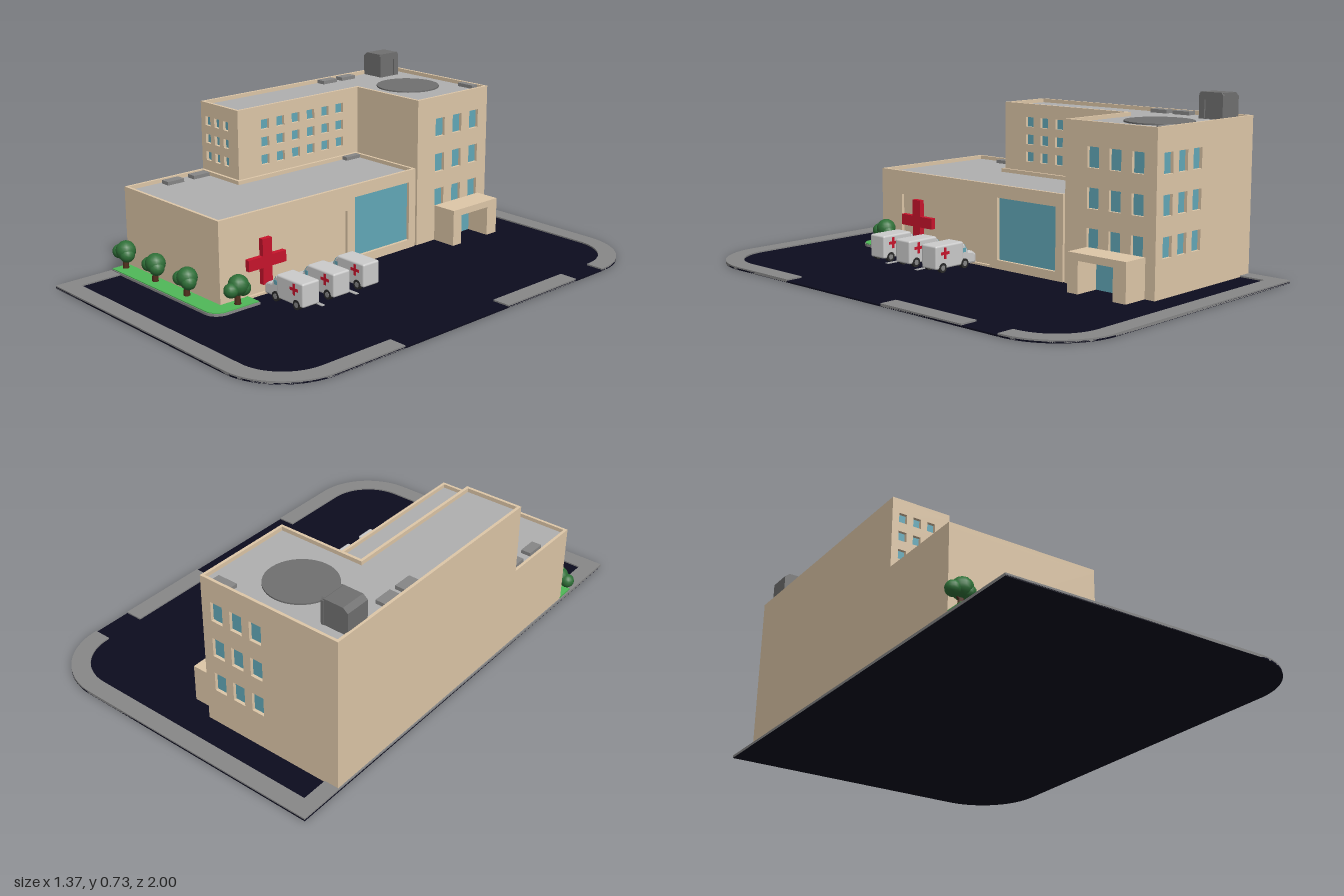
import * as THREE from 'three';
import { RoundedBoxGeometry } from 'three/addons/geometries/RoundedBoxGeometry.js';

const mat = (color) => new THREE.MeshStandardMaterial({ color });
const M = {
  wall: mat(0xdec7a8), roof: mat(0xb0b0b0), vent: mat(0x878787), dark: mat(0x707070), glass: mat(0x62a8b8),
  asphalt: mat(0x0c0c1e), curb: mat(0x888888), grass: mat(0x50b858), red: mat(0xc8142c),
  leaf: mat(0x2f7038), trunk: mat(0x4f2d1b), van: mat(0xc4c4c4), tyre: mat(0x2a2a2a),
};

function add(parent, name, geometry, material, x = 0, y = 0, z = 0) {
  const m = new THREE.Mesh(geometry, material);
  m.name = name;
  m.position.set(x, y, z);
  parent.add(m);
  return m;
}
// box given by its limits on each axis
const box = (p, name, material, [x0, x1], [y0, y1], [z0, z1]) =>
  add(p, name, new THREE.BoxGeometry(x1 - x0, y1 - y0, z1 - z0), material, (x0 + x1) / 2, (y0 + y1) / 2, (z0 + z1) / 2);

const poly = (pts) => new THREE.Shape(pts.map(([x, y]) => new THREE.Vector2(x, y)));
const extrude = (shape, depth) => new THREE.ExtrudeGeometry(shape, { depth, bevelEnabled: false, curveSegments: 12 });
// plan shape (x, z) raised from y0 to y1
const slab = (p, name, material, shape, y0, y1) =>
  add(p, name, extrude(shape, y1 - y0).rotateX(Math.PI / 2), material, 0, y1, 0);

// moves a right-angled outline inwards by t
function inset(pts, t) {
  const n = pts.length;
  const normal = (a, b) => [-Math.sign(b[1] - a[1]), Math.sign(b[0] - a[0])];
  return pts.map((p, i) => {
    const a = normal(pts[(i + n - 1) % n], p), b = normal(p, pts[(i + 1) % n]);
    return [p[0] + t * (a[0] + b[0]), p[1] + t * (a[1] + b[1])];
  });
}

const T = 0.015; // wall depth in front of the core
// outer wall with recessed panels; openings are [u, y, width, height, material]
function wall(p, name, u0, u1, y0, y1, openings, angle, x, z) {
  const g = new THREE.Group();
  g.name = name;
  g.rotation.y = angle;
  g.position.set(x, 0, z);
  p.add(g);
  const rect = (a, b, c, d) => [[a, c], [b, c], [b, d], [a, d]];
  const shape = poly(rect(u0, u1, y0, y1));
  for (const [u, y, w, h, m] of openings) {
    shape.holes.push(poly(rect(u - w / 2, u + w / 2, y - h / 2, y + h / 2)));
    box(g, m === M.glass ? 'window' : 'signPanel', m, [u - w / 2, u + w / 2], [y - h / 2, y + h / 2], [-0.002, 0.002]);
  }
  add(g, 'wallFace', extrude(shape, T), M.wall);
}
const grid = (us, ys, w, h) => us.flatMap((u) => ys.map((y) => [u, y, w, h, M.glass]));

// roof surface with a raised rim
function roof(p, name, outline, y) {
  const inner = inset(outline, 0.012);
  const rim = poly(outline);
  rim.holes.push(poly(inner));
  slab(p, name + 'Parapet', M.wall, rim, y - 0.02, y);
  slab(p, name, M.roof, poly(inner), y - 0.022, y - 0.016);
}

// plus sign facing +z
function cross(p, size, arm, depth) {
  const g = new THREE.Group();
  g.name = 'cross';
  const a = size / 2, b = arm / 2;
  add(g, 'crossShape', extrude(poly([[-b, -a], [b, -a], [b, -b], [a, -b], [a, b], [b, b],
    [b, a], [-b, a], [-b, b], [-a, b], [-a, -b], [-b, -b]]), depth), M.red);
  p.add(g);
  return g;
}

function tree(p, x, z, turn) {
  const g = new THREE.Group();
  g.name = 'tree';
  g.position.set(x, 0.015, z);
  g.rotation.y = turn;
  add(g, 'trunk', new THREE.CylinderGeometry(0.009, 0.014, 0.06, 8), M.trunk, 0, 0.03, 0);
  const branch = add(g, 'branch', new THREE.CylinderGeometry(0.005, 0.007, 0.05, 6), M.trunk, -0.015, 0.05, 0);
  branch.rotation.z = 0.7;
  for (const [bx, by, bz, r] of [[0.005, 0.08, 0, 0.041], [-0.034, 0.068, 0.005, 0.029], [0.022, 0.066, 0.006, 0.031]])
    add(g, 'foliage', new THREE.SphereGeometry(r, 14, 10), M.leaf, bx, by, bz);
  p.add(g);
}

function ambulance(p, z) {
  const g = new THREE.Group();
  g.name = 'ambulance';
  g.position.z = z;
  add(g, 'body', new RoundedBoxGeometry(0.155, 0.096, 0.085, 2, 0.008), M.van, 0.1275, 0.07, 0);
  const cab = new THREE.ExtrudeGeometry(poly([[-0.017, 0.028], [-0.017, 0.054], [-0.005, 0.062], [0.022, 0.066],
    [0.046, 0.1], [0.065, 0.104], [0.065, 0.028]]), { depth: 0.06, bevelSize: 0.008, bevelThickness: 0.008, bevelSegments: 2 });
  add(g, 'cab', cab, M.van, 0, 0, -0.03);
  const screen = add(g, 'windscreen', new THREE.BoxGeometry(0.004, 0.034, 0.062), M.glass, 0.027, 0.088, 0);
  screen.rotation.z = -Math.atan2(24, 34);
  for (const s of [-1, 1]) {
    box(g, 'sideWindow', M.glass, [0.034, 0.05], [0.072, 0.09], [s * 0.038 - 0.001, s * 0.038 + 0.001]);
    const c = cross(g, 0.046, 0.012, 0.002);
    c.position.set(0.155, 0.085, s * 0.042);
    if (s < 0) c.rotation.y = Math.PI;
    for (const x of [0.045, 0.168]) {
      add(g, 'wheel', new THREE.CylinderGeometry(0.02, 0.02, 0.014, 18).rotateX(Math.PI / 2), M.tyre, x, 0.027, s * 0.037);
      add(g, 'hub', new THREE.CylinderGeometry(0.011, 0.011, 0.016, 14).rotateX(Math.PI / 2), M.curb, x, 0.027, s * 0.037);
    }
  }
  p.add(g);
}

export function createModel() {
  const root = new THREE.Group();
  root.name = 'hospital';

  // asphalt lot with two rounded corners
  const lot = new THREE.Shape();
  lot.moveTo(-0.66, -1).lineTo(0.415, -1).absarc(0.415, -0.73, 0.27, -Math.PI / 2, 0, false);
  lot.absarc(0.415, 0.73, 0.27, 0, Math.PI / 2, false).lineTo(-0.66, 1);
  slab(root, 'asphalt', M.asphalt, lot, 0, 0.006);

  // pavement around the lot, open at the two driveways
  for (const [s, end] of [[1, 0.41], [-1, 0.72]]) {
    const c = new THREE.Shape();
    c.moveTo(-0.66, 0).lineTo(-0.66, s).lineTo(0.415, s);
    c.absarc(0.415, s * 0.73, 0.27, s * Math.PI / 2, 0, s > 0);
    c.lineTo(0.685, s * end).lineTo(0.61, s * end);
    c.absarc(0.415, s * 0.73, 0.195, 0, s * Math.PI / 2, s < 0);
    c.lineTo(-0.595, s * 0.925).lineTo(-0.595, 0);
    slab(root, 'pavement', M.curb, c, 0.001, 0.012);
  }
  box(root, 'pavementIsland', M.curb, [0.61, 0.685], [0.001, 0.012], [-0.55, -0.14]);
  for (const z of [0.19, 0.365]) box(root, 'parkingLine', M.roof, [-0.04, 0.205], [0.004, 0.009], [z - 0.008, z + 0.008]);

  // building cores
  box(root, 'towerCore', M.wall, [-0.655, -0.04 - T], [0.006, 0.62], [-0.815 + T, -0.385]);
  box(root, 'wingCore', M.wall, [-0.655, -0.41 - T], [0.006, 0.62], [-0.39, 0.275 - T]);
  box(root, 'lowCore', M.wall, [-0.655, -0.04 - T], [0.006, 0.33], [-0.375, 0.665]);

  // walls with recessed windows
  const E = Math.PI / 2, rows = [0.195, 0.35, 0.505], wingRows = [0.412, 0.487, 0.562];
  wall(root, 'towerSide', 0.385, 0.815, 0.006, 0.62, grid([0.52, 0.625, 0.73], rows, 0.055, 0.08), E, -0.04 - T, 0);
  wall(root, 'towerBack', 0.04 + T, 0.655, 0.006, 0.62, grid([0.11, 0.2, 0.29], rows, 0.055, 0.08), Math.PI, 0, -0.815 + T);
  wall(root, 'wingSide', -0.275, 0.385, 0.33, 0.62,
    grid([-0.134, -0.052, 0.031, 0.114, 0.196, 0.278], wingRows, 0.042, 0.042), E, -0.41 - T, 0);
  wall(root, 'wingFront', -0.655, -0.41 - T, 0.33, 0.62, grid([-0.61, -0.55, -0.49], wingRows, 0.033, 0.038), 0, 0, 0.275 - T);
  wall(root, 'lowSide', -0.665, 0.375, 0.006, 0.33,
    [[0.182, 0.17, 0.31, 0.255, M.glass], [-0.278, 0.132, 0.525, 0.235, M.wall]], E, -0.04 - T, 0);

  // roofs
  roof(root, 'upperRoof', [[-0.655, -0.815], [-0.04, -0.815], [-0.04, -0.385], [-0.41, -0.385], [-0.41, 0.275], [-0.655, 0.275]], 0.64);
  roof(root, 'lowRoof', [[-0.655, 0.275], [-0.41, 0.275], [-0.41, -0.375], [-0.04, -0.375], [-0.04, 0.665], [-0.655, 0.665]], 0.35);
  add(root, 'helipad', new THREE.CylinderGeometry(0.137, 0.137, 0.006, 40), M.dark, -0.325, 0.627, -0.61);
  for (const [x, z, w, d, y] of [[-0.132, -0.79, 0.085, 0.036, 0.62], [-0.622, -0.51, 0.042, 0.08, 0.62],
    [-0.622, -0.4, 0.042, 0.08, 0.62], [-0.39, -0.325, 0.042, 0.08, 0.33], [-0.61, 0.33, 0.042, 0.08, 0.33], [-0.61, 0.46, 0.042, 0.08, 0.33]])
    box(root, 'roofVent', M.vent, [x - w / 2, x + w / 2], [y, y + 0.019], [z - d / 2, z + d / 2]);

  // rooftop stair house with a framed doorway
  add(root, 'stairHouse', extrude(poly([[-0.645, 0.62], [-0.54, 0.62], [-0.54, 0.728], [-0.625, 0.728], [-0.645, 0.712]]), 0.105),
    M.dark, 0, 0, -0.753);
  const frame = poly([[0.645, 0.62], [0.755, 0.62], [0.755, 0.72], [0.748, 0.73], [0.652, 0.73], [0.645, 0.72]]);
  frame.holes.push(poly([[0.67, 0.625], [0.73, 0.625], [0.73, 0.7], [0.67, 0.7]]));
  add(root, 'stairHouseFrame', extrude(frame, 0.012), M.dark, -0.545, 0, 0).rotation.y = E;

  // entrance porch and door
  const arch = poly([[0.495, 0.006], [0.545, 0.006], [0.545, 0.133], [0.71, 0.133], [0.71, 0.006], [0.77, 0.006], [0.77, 0.162], [0.495, 0.162]]);
  add(root, 'porch', extrude(arch, 0.113), M.wall, -0.041, 0, 0).rotation.y = E;
  box(root, 'entranceDoor', M.glass, [-0.042, -0.036], [0.006, 0.133], [-0.71, -0.545]);

  // wall cross
  const sign = cross(root, 0.185, 0.046, 0.022);
  sign.rotation.y = E;
  sign.position.set(-0.053, 0.142, 0.44);

  // planted strip and trees
  const strip = (e) => {
    const s = new THREE.Shape();
    s.moveTo(-0.655, 0.66).lineTo(-0.045, 0.66).lineTo(-0.045, 0.53 + e).lineTo(0.03 - e, 0.53 + e).lineTo(0.03 - e, 0.685);
    return s.absarc(-0.03, 0.685, 0.06 - e, 0, Math.PI / 2, false).lineTo(-0.655, 0.745 - e);
  };
  slab(root, 'planterEdge', M.curb, strip(0), 0.004, 0.016);
  slab(root, 'grass', M.grass, strip(0.003), 0.005, 0.02);
  for (const x of [-0.625, -0.418, -0.208]) tree(root, x, 0.697, 0);
  tree(root, -0.005, 0.61, E);

  for (const z of [0.115, 0.27, 0.425]) ambulance(root, z);
  return root;
}
